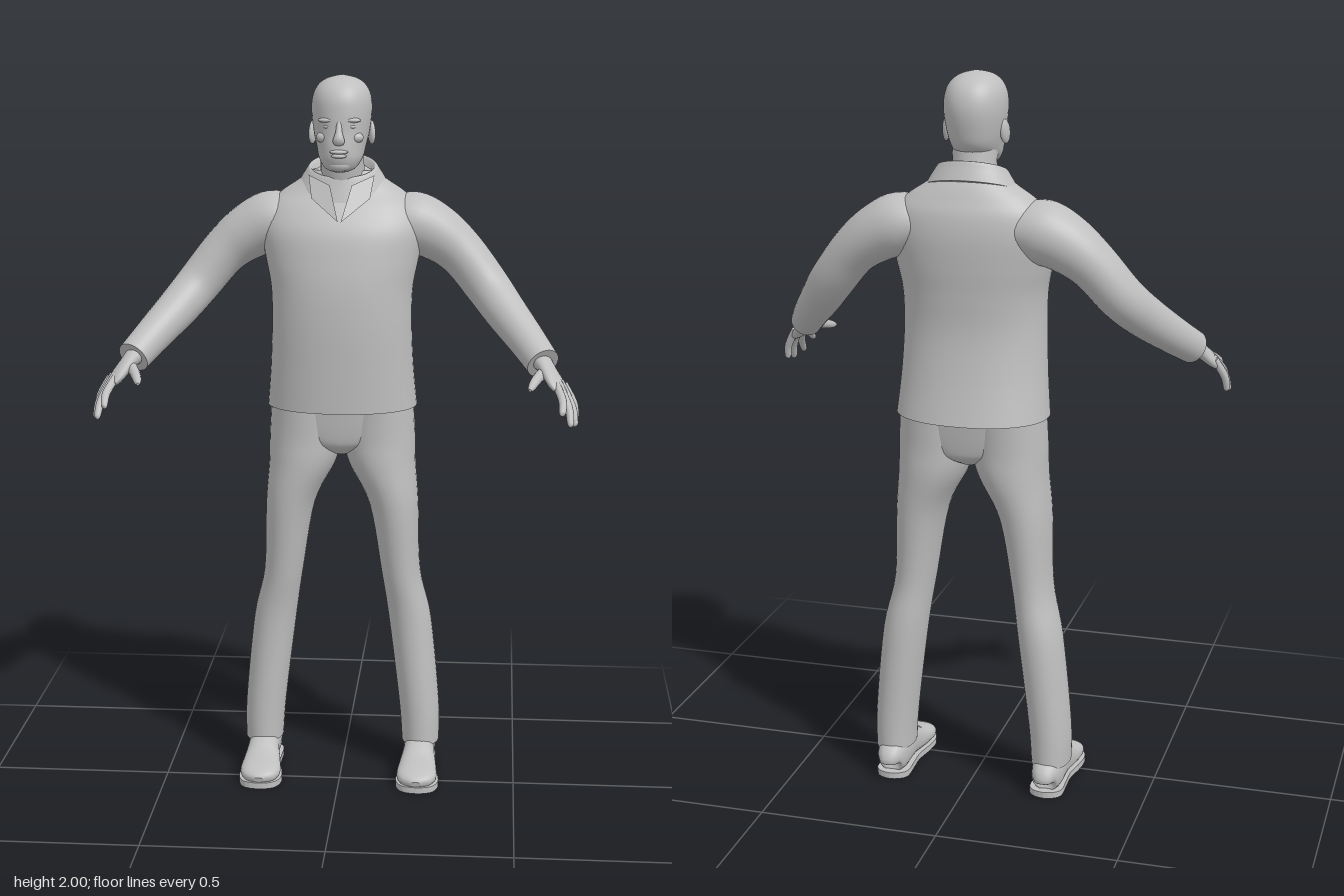
import * as THREE from 'three';

// Double-sided because the collar points are open sheets
const grey = new THREE.MeshStandardMaterial({ color: 0xbfbfbf, side: THREE.DoubleSide });
grey.name = 'plain grey';

// Smoothly interpolate rows of numbers (Catmull-Rom per column)
function refine(rows, steps) {
  const out = [], n = rows.length;
  for (let i = 0; i < n - 1; i++) {
    const a = rows[Math.max(i - 1, 0)], b = rows[i], c = rows[i + 1], d = rows[Math.min(i + 2, n - 1)];
    for (let s = 0; s < steps; s++) {
      const t = s / steps;
      out.push(b.map((p, k) => {
        const cubic = 3 * (p - c[k]) + d[k] - a[k];
        const square = 2 * a[k] - 5 * p + 4 * c[k] - d[k];
        return p + 0.5 * t * (c[k] - a[k] + t * (square + t * cubic));
      }));
    }
  }
  out.push(rows[n - 1]);
  return out;
}

// Skin a list of rings; each ring has a centre, two axes, two radii and a squareness
function skin(rings, segs) {
  const pos = [], idx = [];
  const power = (v, n) => Math.sign(v) * Math.abs(v) ** (2 / n);
  for (const { c, u, v, ru, rv, n } of rings) {
    for (let j = 0; j < segs; j++) {
      const a = (j / segs) * Math.PI * 2;
      const p = c.clone().addScaledVector(u, ru * power(Math.cos(a), n)).addScaledVector(v, rv * power(Math.sin(a), n));
      pos.push(p.x, p.y, p.z);
    }
  }
  for (let i = 0; i < rings.length - 1; i++) {
    for (let j = 0; j < segs; j++) {
      const a = i * segs + j, b = i * segs + (j + 1) % segs;
      idx.push(a, a + segs, b, b, a + segs, b + segs);
    }
  }
  // end caps with their own vertices, so the rims stay sharp
  for (const [r, flip] of [[0, false], [rings.length - 1, true]]) {
    const base = pos.length / 3;
    pos.push(...pos.slice(r * segs * 3, (r + 1) * segs * 3), ...rings[r].c.toArray());
    for (let j = 0; j < segs; j++) {
      const a = base + j, b = base + (j + 1) % segs;
      idx.push(base + segs, ...(flip ? [b, a] : [a, b]));
    }
  }
  const g = new THREE.BufferGeometry();
  g.setAttribute('position', new THREE.Float32BufferAttribute(pos, 3));
  g.setIndex(idx);
  g.computeVertexNormals();
  return g;
}

// Stack of level rings, rising: [y, cx, cz, rx, rz]
function stack(rows, n = 2, segs = 40, steps = 5) {
  const u = new THREE.Vector3(1, 0, 0), v = new THREE.Vector3(0, 0, 1);
  return skin(refine(rows, steps).map(([y, x, z, ru, rv]) => (
    { c: new THREE.Vector3(x, y, z), u, v, ru, rv, n })), segs);
}

// Limb along a path: [x, y, z, radius across hint, radius along hint]
function limb(rows, hint, n = 2, segs = 24, steps = 5) {
  const r = refine(rows, steps), h = new THREE.Vector3(...hint);
  const at = i => new THREE.Vector3(...r[Math.min(Math.max(i, 0), r.length - 1)].slice(0, 3));
  return skin(r.map((row, i) => {
    const t = at(i + 1).sub(at(i - 1)).normalize();
    const u = h.clone().cross(t).normalize();
    return { c: at(i), u, v: u.clone().cross(t), ru: row[3], rv: row[4], n };
  }), segs);
}

function blob(x, y, z, rx, ry, rz) {
  return new THREE.SphereGeometry(1, 24, 16).scale(rx, ry, rz).translate(x, y, z);
}

function mirrored(geo) {
  const g = geo.clone();
  if (!g.index) g.setIndex([...Array(g.attributes.position.count).keys()]);
  g.scale(-1, 1, 1);
  const ix = g.index.array;
  for (let i = 0; i < ix.length; i += 3) [ix[i], ix[i + 1]] = [ix[i + 1], ix[i]];
  g.computeVertexNormals();
  return g;
}

export function createModel() {
  const man = new THREE.Group();
  man.name = 'standingMan';
  const add = (name, geo) => {
    const m = new THREE.Mesh(geo, grey);
    m.name = name;
    man.add(m);
  };
  const pair = (name, geo) => {
    add(name + 'Left', geo);
    add(name + 'Right', mirrored(geo));
  };

  // Jacket body
  add('jacket', stack([
    [1.085, 0, -0.12, 0.21, 0.158], [1.2, 0, -0.105, 0.2, 0.148], [1.32, 0, -0.095, 0.195, 0.142],
    [1.42, 0, -0.098, 0.197, 0.142], [1.5, 0, -0.107, 0.212, 0.14], [1.58, 0, -0.118, 0.225, 0.132],
    [1.64, 0, -0.132, 0.21, 0.11], [1.68, 0, -0.14, 0.17, 0.085], [1.71, 0, -0.14, 0.125, 0.07],
    [1.74, 0, -0.135, 0.085, 0.055]], 2.2, 56));

  // Collar band, lower at the front, and its two points
  const collar = stack([[1.695, 0, -0.125, 0.128, 0.09], [1.73, 0, -0.125, 0.107, 0.077],
    [1.752, 0, -0.125, 0.09, 0.068], [1.73, 0, -0.125, 0.078, 0.06]], 2, 48);
  const cp = collar.attributes.position;
  for (let i = 0; i < cp.count; i++) cp.setY(i, cp.getY(i) - 0.4 * (cp.getZ(i) + 0.125));
  collar.computeVertexNormals();
  add('collar', collar);
  const flap = new THREE.BufferGeometry();
  flap.setAttribute('position', new THREE.Float32BufferAttribute([
    0.03, 1.705, -0.045, 0.004, 1.612, 0.01, 0.08, 1.67, -0.04, 0.09, 1.73, -0.075], 3));
  flap.setIndex([0, 1, 2, 0, 2, 3]);
  flap.computeVertexNormals();
  pair('collarPoint', flap);

  // Sleeves
  pair('sleeve', limb([
    [0.12, 1.6, -0.14, 0.06, 0.08], [0.19, 1.595, -0.142, 0.085, 0.092], [0.26, 1.565, -0.142, 0.078, 0.085],
    [0.33, 1.51, -0.135, 0.066, 0.073], [0.4, 1.425, -0.11, 0.062, 0.066], [0.45, 1.365, -0.055, 0.058, 0.06],
    [0.51, 1.3, 0.025, 0.051, 0.053], [0.555, 1.25, 0.098, 0.046, 0.047]], [0, 0, 1], 2, 32));

  // Hands
  const across = [0.42, -0.22, -0.88];
  pair('palm', limb([[0.55, 1.255, 0.09, 0.026, 0.03], [0.567, 1.238, 0.125, 0.02, 0.033],
    [0.592, 1.205, 0.165, 0.017, 0.043], [0.606, 1.188, 0.186, 0.01, 0.037]], across));
  const first = new THREE.Vector3(0.592, 1.2, 0.2), last = new THREE.Vector3(0.617, 1.187, 0.148);
  [[0.606, 1.15, 0.28], [0.63, 1.115, 0.26], [0.643, 1.105, 0.21], [0.645, 1.115, 0.165]].forEach((tip, i) => {
    const k = first.clone().lerp(last, i / 3), e = new THREE.Vector3(...tip);
    const m = k.clone().lerp(e, 0.5).add(new THREE.Vector3(0.006, 0.005, 0));
    const o = k.clone().lerp(e, -0.25);
    pair('finger' + (i + 1), limb([[...o.toArray(), 0.011, 0.011], [...m.toArray(), 0.011, 0.011],
      [...k.clone().lerp(e, 0.92).toArray(), 0.009, 0.009], [...tip, 0.003, 0.003]], across, 2, 12, 4));
  });
  pair('thumb', limb([[0.562, 1.238, 0.125, 0.016, 0.016], [0.538, 1.222, 0.175, 0.014, 0.014],
    [0.525, 1.21, 0.215, 0.011, 0.011], [0.52, 1.205, 0.237, 0.004, 0.004]], across, 2, 12, 4));

  // Trousers
  add('trouserSeat', stack([[0.95, 0, -0.118, 0.03, 0.06], [0.975, 0, -0.118, 0.1, 0.1],
    [1.01, 0, -0.118, 0.18, 0.113], [1.1, 0, -0.12, 0.198, 0.125]], 2.3));
  pair('trouserLeg', stack([
    [0.085, 0.228, -0.125, 0.054, 0.08], [0.2, 0.223, -0.126, 0.058, 0.081], [0.45, 0.195, -0.128, 0.061, 0.083],
    [0.6, 0.168, -0.115, 0.056, 0.086], [0.8, 0.147, -0.112, 0.07, 0.108], [0.92, 0.113, -0.116, 0.095, 0.119],
    [1.0, 0.103, -0.118, 0.103, 0.119], [1.1, 0.1, -0.12, 0.1, 0.125]], 2.1, 36));

  // Shoes
  pair('shoe', limb([
    [0.226, 0.045, -0.206, 0.018, 0.02], [0.226, 0.055, -0.198, 0.036, 0.043], [0.226, 0.062, -0.15, 0.045, 0.055],
    [0.226, 0.058, -0.07, 0.045, 0.05], [0.225, 0.042, -0.01, 0.053, 0.034], [0.224, 0.034, 0.05, 0.057, 0.026],
    [0.224, 0.029, 0.083, 0.042, 0.018], [0.224, 0.026, 0.097, 0.014, 0.008]], [0, 1, 0], 2.4));
  const outline = [[0, -0.21], [0.042, -0.19], [0.046, -0.12], [0.045, -0.07], [0.058, 0], [0.06, 0.05], [0.042, 0.088],
    [0, 0.1], [-0.042, 0.088], [-0.06, 0.05], [-0.058, 0], [-0.045, -0.07], [-0.046, -0.12], [-0.042, -0.19]];
  const curve = new THREE.CatmullRomCurve3(outline.map(([x, y]) => new THREE.Vector3(x + 0.225, y, 0)), true);
  const sole = new THREE.Shape(curve.getPoints(48).slice(0, -1).map(p => new THREE.Vector2(p.x, p.y)));
  pair('sole', new THREE.ExtrudeGeometry(sole, { depth: 0.018, bevelEnabled: false })
    .rotateX(Math.PI / 2).translate(0, 0.018, 0));

  // Neck and head
  add('neck', limb([[0, 1.66, -0.13, 0.062, 0.062], [0, 1.74, -0.11, 0.06, 0.06],
    [0, 1.83, -0.095, 0.06, 0.062]], [0, 0, 1]));
  add('head', stack([
    [1.745, 0, -0.025, 0.02, 0.022], [1.755, 0, -0.035, 0.042, 0.048], [1.78, 0, -0.055, 0.059, 0.08],
    [1.81, 0, -0.075, 0.067, 0.101], [1.85, 0, -0.085, 0.076, 0.106], [1.9, 0, -0.09, 0.082, 0.109],
    [1.94, 0, -0.09, 0.08, 0.103], [1.97, 0, -0.09, 0.067, 0.085], [1.99, 0, -0.09, 0.042, 0.053],
    [2.0, 0, -0.09, 0.004, 0.005]], 2.15, 48));

  // Face
  add('nose', limb([[0, 1.882, 0.012, 0.007, 0.007], [0, 1.856, 0.022, 0.011, 0.009],
    [0, 1.834, 0.029, 0.013, 0.016], [0, 1.823, 0.024, 0.007, 0.013]], [1, 0, 0], 2, 16));
  add('upperLip', blob(0, 1.802, 0.024, 0.025, 0.006, 0.012));
  add('lowerLip', blob(0, 1.791, 0.022, 0.021, 0.006, 0.012));
  add('chin', blob(0, 1.765, 0.003, 0.03, 0.018, 0.018));
  pair('brow', blob(0.032, 1.885, 0.003, 0.026, 0.007, 0.014));
  pair('eye', blob(0.031, 1.868, 0, 0.014, 0.007, 0.014));
  pair('cheek', blob(0.042, 1.838, -0.012, 0.022, 0.016, 0.02));
  pair('ear', blob(0, 0, 0, 0.01, 0.033, 0.019).rotateX(-0.2).rotateY(0.35).translate(0.08, 1.845, -0.098));
  return man;
}
